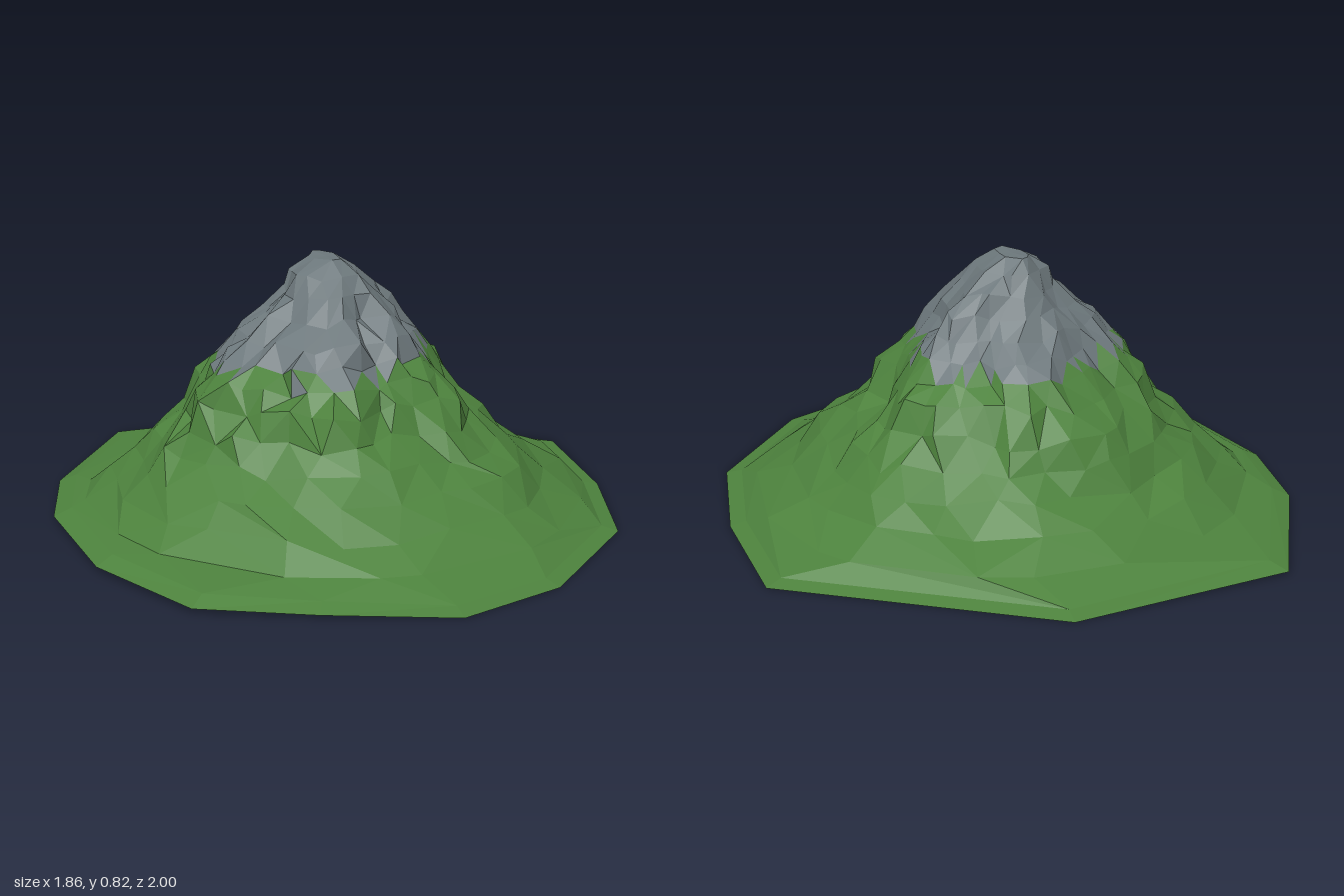
import * as THREE from 'three';

// Small seeded random, returns -1..1
function makeRandom(seed) {
  return () => {
    seed = (seed * 1664525 + 1013904223) % 4294967296;
    return (seed / 4294967296) * 2 - 1;
  };
}

// Outline of the foot, as x, z corners in order of angle
const RIM = [
  [0.84, 0.17], [0.67, 0.58], [0.27, 0.91], [-0.09, 1.0], [-0.46, 0.83], [-0.78, 0.65],
  [-0.93, 0.24], [-0.92, -0.23], [-0.8, -0.56], [-0.45, -1.0], [0.27, -0.94], [0.93, -0.29],
];

// Contours: height, left x, right x, back z, front z, corner count, roughness
const CONTOURS = [
  [0.06, -0.835, 0.77, -0.80, 0.80, 18, 0.008],
  [0.13, -0.765, 0.67, -0.695, 0.70, 24, 0.018],
  [0.20, -0.70, 0.61, -0.61, 0.61, 28, 0.026],
  [0.27, -0.64, 0.55, -0.555, 0.53, 32, 0.03],
  [0.35, -0.58, 0.47, -0.50, 0.47, 36, 0.032],
  [0.43, -0.54, 0.42, -0.45, 0.42, 38, 0.032],
  [0.49, -0.49, 0.37, -0.39, 0.37, 38, 0.028],
  [0.545, -0.44, 0.31, -0.33, 0.31, 36, 0.026],
  [0.60, -0.37, 0.25, -0.28, 0.27, 32, 0.024],
  [0.66, -0.28, 0.21, -0.23, 0.19, 26, 0.02],
  [0.72, -0.21, 0.14, -0.20, 0.14, 20, 0.016],
  [0.775, -0.18, 0.07, -0.17, 0.09, 14, 0.01],
  [0.82, -0.10, 0.00, -0.14, 0.02, 8, 0.004],
];
const CX = -0.05, CZ = -0.06;

// Spurs and gullies around the slopes: angle in degrees, share of the full radius
const SPURS = [
  [-15, 1], [0, 0.87], [30, 0.76], [53, 1.02], [80, 0.84], [110, 1.04], [135, 0.97], [160, 1.03],
  [180, 0.9], [200, 0.86], [215, 0.95], [240, 0.89], [270, 1], [288, 1.02], [315, 0.85], [345, 1],
];
function spurAt(angle) {
  let deg = THREE.MathUtils.radToDeg(angle) % 360;
  if (deg > 345) deg -= 360;
  const i = SPURS.findIndex(([d]) => d >= deg);
  if (i < 1) return SPURS[0][1];
  const [d0, k0] = SPURS[i - 1], [d1, k1] = SPURS[i];
  return THREE.MathUtils.mapLinear(deg, d0, d1, k0, k1);
}

// The foot outline, optionally shrunk and raised; its left side sits a little higher
function rimRing(scale, lift, leftLift) {
  return RIM.map(([x, z]) => ({
    p: [x * scale, lift + Math.max(0, -x) * leftLift, z * scale],
    a: (Math.atan2(z, x) + Math.PI * 2) % (Math.PI * 2),
  }));
}

// Builds the rings of points from the foot up to the summit
function buildRings(random) {
  const rings = [rimRing(1, 0, 0.02), rimRing(0.94, 0.013, 0.035)];
  for (const [h, left, right, back, front, count, rough] of CONTOURS) {
    const ring = [];
    const spurStrength = THREE.MathUtils.smoothstep(h, 0.02, 0.47);
    for (let i = 0; i < count; i++) {
      const a = ((i + 0.5 + random() * 0.3) / count) * Math.PI * 2;
      const c = Math.cos(a), s = Math.sin(a);
      const spur = THREE.MathUtils.lerp(1, spurAt(a), spurStrength);
      const k = rough * (Math.sin(a * 11 + h * 3) * 0.3 + random() * 0.75 - 0.3);
      ring.push({
        a,
        p: [
          CX + c * ((c > 0 ? right - CX : CX - left) * spur + k),
          h + random() * rough * 0.7,
          CZ + s * ((s > 0 ? front - CZ : CZ - back) * spur + k),
        ],
      });
    }
    rings.push(ring);
  }
  return rings;
}

// Joins two rings of different corner counts with triangles
function stitch(lower, upper, addFace) {
  const angle = (ring, i) => ring[i % ring.length].a + (i >= ring.length ? Math.PI * 2 : 0);
  const point = (ring, i) => ring[i % ring.length].p;
  let i = 0, j = 0;
  while (i < lower.length || j < upper.length) {
    const stepLower = j >= upper.length ||
      (i < lower.length && angle(lower, i + 1) <= angle(upper, j + 1));
    if (stepLower) {
      addFace(point(lower, i), point(upper, j), point(lower, i + 1));
      i++;
    } else {
      addFace(point(lower, i), point(upper, j), point(upper, j + 1));
      j++;
    }
  }
}

export function createModel() {
  const group = new THREE.Group();
  group.name = 'mountain';
  const random = makeRandom(29);
  const grassPositions = [], rockPositions = [];

  // Faces above the ragged treeline are rock, the others grass
  const addFace = (a, b, c) => {
    const height = (a[1] + b[1] + c[1]) / 3;
    const target = height > 0.515 + random() * 0.02 ? rockPositions : grassPositions;
    target.push(...a, ...b, ...c);
  };

  const rings = buildRings(random);
  for (let r = 0; r + 1 < rings.length; r++) stitch(rings[r], rings[r + 1], addFace);

  // Summit cap
  const top = rings[rings.length - 1];
  top.forEach((v, i) => addFace(v.p, [CX, 0.82, CZ], top[(i + 1) % top.length].p));

  const addMesh = (name, positions, color) => {
    const geometry = new THREE.BufferGeometry();
    geometry.setAttribute('position', new THREE.Float32BufferAttribute(positions, 3));
    geometry.computeVertexNormals();
    const material = new THREE.MeshStandardMaterial({ color, flatShading: true, side: THREE.DoubleSide });
    material.name = name + 'Colour';
    const mesh = new THREE.Mesh(geometry, material);
    mesh.name = name;
    group.add(mesh);
  };
  addMesh('grassySlopes', grassPositions, 0x4d823d);
  addMesh('rockyPeak', rockPositions, 0x6c777b);
  return group;
}
